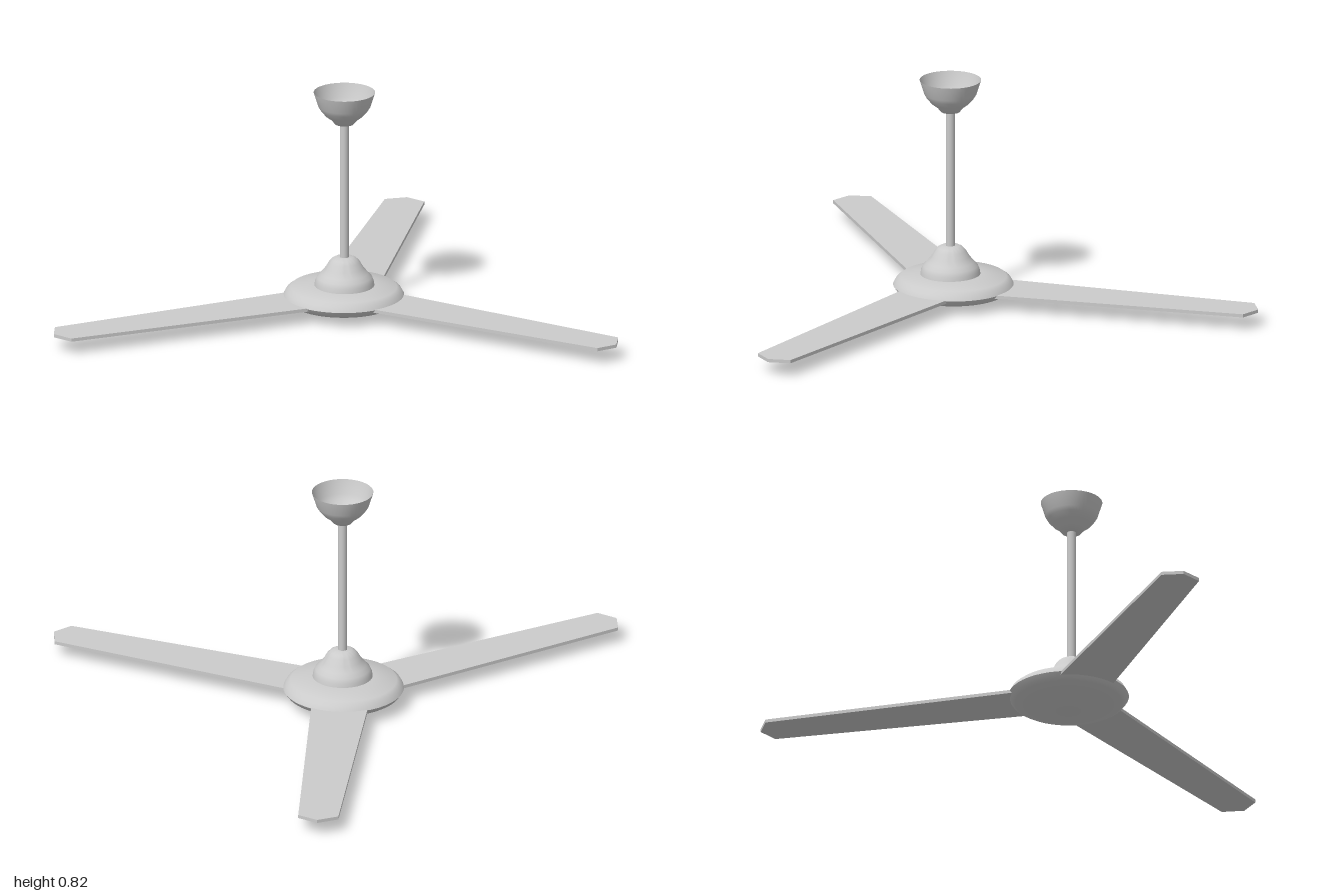
import * as THREE from 'three';
import { toCreasedNormals } from 'three/addons/utils/BufferGeometryUtils.js';

const HUB = [0.071, 0.169]; // fan axis (x, z)
const STEM = [0.072, 0.18]; // rod axis (x, z)

export function createModel() {
  const group = new THREE.Group();
  const solid = new THREE.MeshStandardMaterial({ color: 0xcccccc });
  const open = new THREE.MeshStandardMaterial({ color: 0xcccccc, side: THREE.DoubleSide });

  const add = (name, geometry, [x, z], y = 0, material = solid) => {
    const mesh = new THREE.Mesh(geometry, material);
    mesh.name = name;
    mesh.position.set(x, y, z);
    group.add(mesh);
    return mesh;
  };
  // profile of [radius, height] pairs, from bottom to top
  const turned = (profile, crease = 0.6) => toCreasedNormals(
    new THREE.LatheGeometry(profile.map(([r, y]) => new THREE.Vector2(r, y)), 48), crease);

  // wide motor housing
  add('motorHousing', turned([
    [0, 0], [0.045, 0.001], [0.08, 0.011], [0.19, 0.034], [0.203, 0.042], [0.216, 0.06],
    [0.206, 0.078], [0.19, 0.09], [0.105, 0.101], [0, 0.101],
  ]), HUB);

  // bell-shaped cover over the motor
  add('motorCover', turned([
    [0.108, 0.095], [0.105, 0.115], [0.098, 0.131], [0.084, 0.145], [0.068, 0.165],
    [0.056, 0.186], [0.045, 0.198], [0.032, 0.205], [0, 0.205],
  ], 0.9), STEM);

  // hanging rod
  add('rod', new THREE.CylinderGeometry(0.0165, 0.0165, 0.52, 16), STEM, 0.455);

  // ceiling canopy, open at the top
  add('canopy', turned([
    [0, 0.705], [0.034, 0.705], [0.048, 0.722], [0.068, 0.737], [0.085, 0.757],
    [0.094, 0.772], [0.11, 0.823],
  ], 0.9), STEM, 0, open);

  // tapered blades with a blunt pointed tip
  const outline = new THREE.Shape([
    [-0.103, 0.12], [0.103, 0.12], [0.071, 1.098], [0, 1.134], [-0.073, 1.098],
  ].map(([x, y]) => new THREE.Vector2(x, y)));
  const bladeGeometry = new THREE.ExtrudeGeometry(outline, { depth: 0.012, bevelEnabled: false });
  bladeGeometry.rotateX(-Math.PI / 2);
  [18, 127.4, 252.5].forEach((angle, i) => {
    const blade = add(`blade${i + 1}`, bladeGeometry, HUB, 0.05);
    blade.rotation.y = -THREE.MathUtils.degToRad(angle);
  });

  return group;
}
